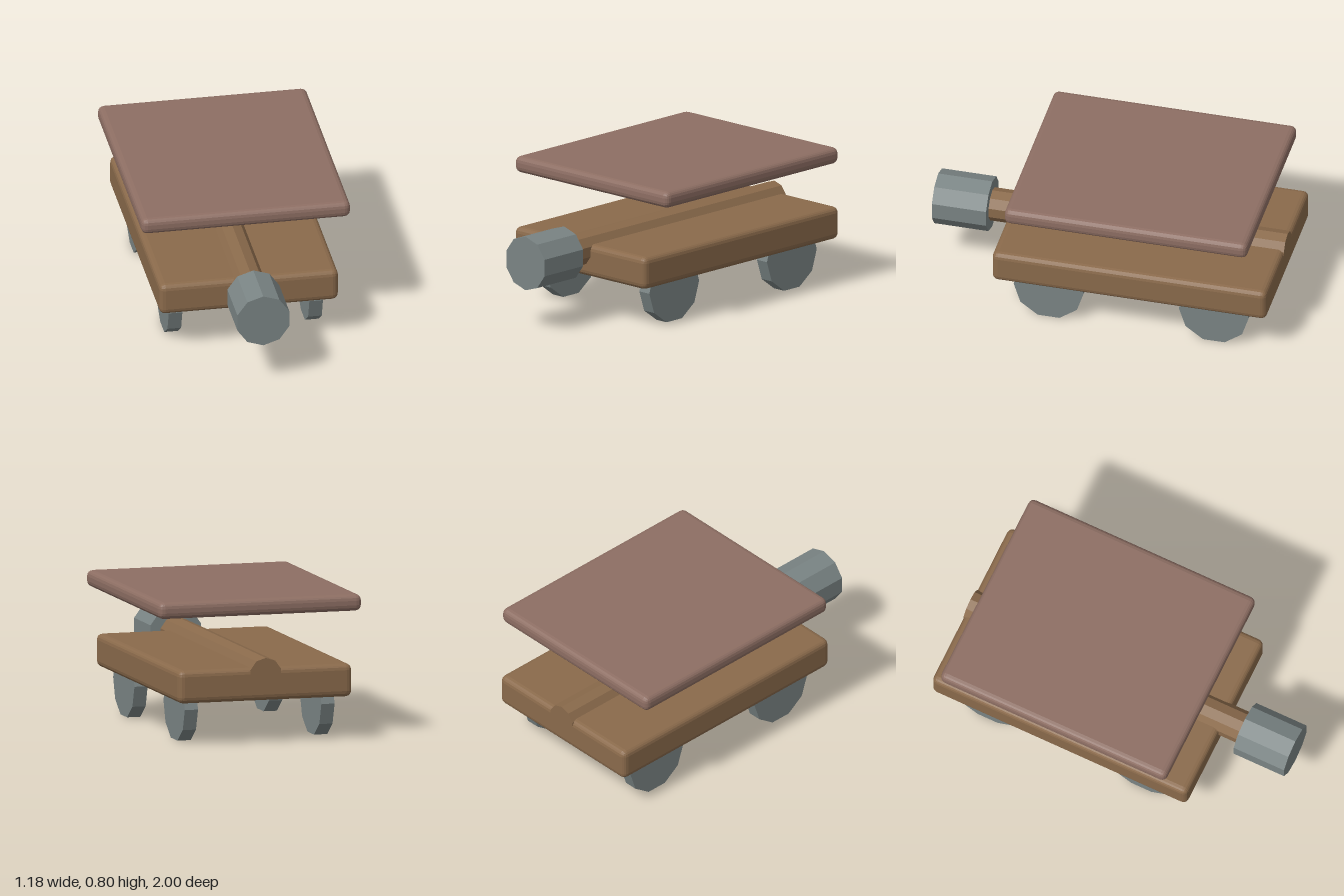
import * as THREE from 'three';
import { RoundedBoxGeometry } from 'three/addons/geometries/RoundedBoxGeometry.js';

const flat = (color) => new THREE.MeshStandardMaterial({ color, flatShading: true });

export function createModel() {
  const model = new THREE.Group();
  model.name = 'coveredRam';
  const wood = flat(0x8a6a4b);
  const roofWood = flat(0x8d6e63);
  const iron = flat(0x7a8484);

  const add = (name, geometry, material, x, y, z) => {
    const mesh = new THREE.Mesh(geometry, material);
    mesh.name = name;
    mesh.position.set(x, y, z);
    model.add(mesh);
    return mesh;
  };

  // Bevelled slabs: wagon bed and the roof floating above it
  add('wagonBed', new RoundedBoxGeometry(1.01, 0.185, 1.57, 2, 0.034), wood, 0, 0.333, -0.215);
  add('roof', new RoundedBoxGeometry(1.18, 0.093, 1.39, 2, 0.034), roofWood, 0, 0.752, -0.215);

  // Ten-sided ram lying along z, a corner pointing up
  const ramY = 0.388;
  const rod = (radius, back, front) =>
    new THREE.CylinderGeometry(radius, radius, front - back, 10)
      .rotateX(Math.PI / 2)
      .translate(0, 0, (front + back) / 2);
  add('ramBeam', rod(0.093, -1, 0.7), wood, 0, ramY, 0);
  add('ramHead', rod(0.154, 0.69, 1), iron, 0, ramY, 0);

  // Four ten-sided wheels resting on a flat side
  const wheelRadius = 0.2;
  const wheelY = wheelRadius * Math.cos(Math.PI / 10);
  const wheel = new THREE.CylinderGeometry(wheelRadius, wheelRadius, 0.077, 10).rotateZ(Math.PI / 2);
  for (const [end, z] of [['front', 0.26], ['rear', -0.685]]) {
    for (const [side, sign] of [['Left', 1], ['Right', -1]]) {
      add(`${end}${side}Wheel`, wheel, iron, sign * 0.397, wheelY, z);
    }
  }

  return model;
}
